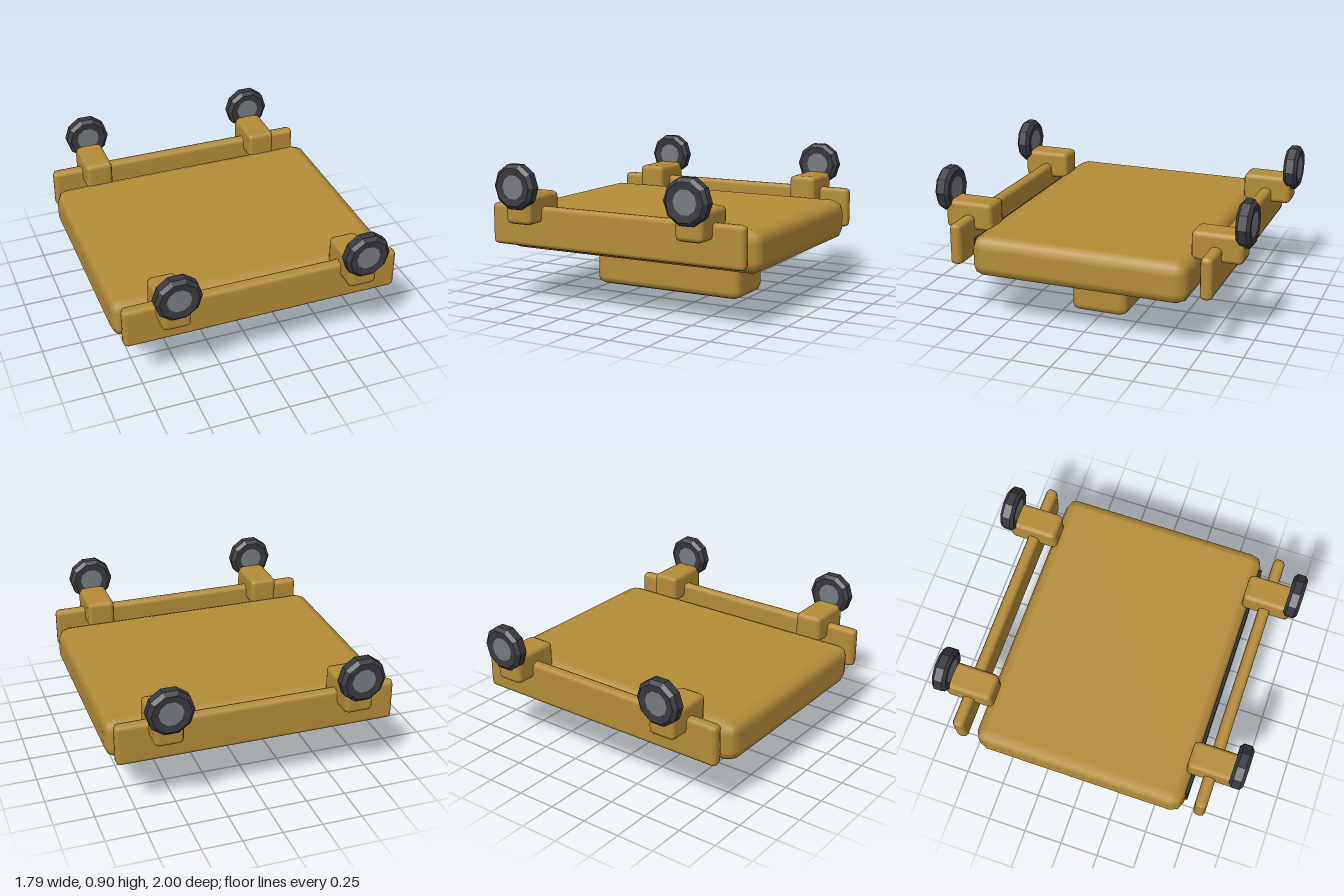
import * as THREE from 'three';
import { RoundedBoxGeometry } from 'three/addons/geometries/RoundedBoxGeometry.js';

const paint = new THREE.MeshStandardMaterial({ color: 0xb48c38 });
const dark = new THREE.MeshStandardMaterial({ color: 0x2c2d32 });
const rubber = new THREE.MeshStandardMaterial({ color: 0x38383e, flatShading: true });
const metal = new THREE.MeshStandardMaterial({ color: 0x777b80, flatShading: true });

// Bevelled box given by its extents on each axis
function block(name, [x0, x1], [y0, y1], [z0, z1], bevel, material = paint) {
  const geometry = new RoundedBoxGeometry(x1 - x0, y1 - y0, z1 - z0, 1, bevel);
  const mesh = new THREE.Mesh(geometry, material);
  mesh.position.set((x0 + x1) / 2, (y0 + y1) / 2, (z0 + z1) / 2);
  mesh.name = name;
  return mesh;
}

// Ten-sided ring turned around z, with corners on the x axis
function turned(name, profile, material) {
  const points = profile.map(([r, z]) => new THREE.Vector2(r, z));
  const geometry = new THREE.LatheGeometry(points, 10, Math.PI / 2);
  geometry.rotateX(Math.PI / 2);
  const mesh = new THREE.Mesh(geometry, material);
  mesh.name = name;
  return mesh;
}

// Tyre with bevelled rims, and a hub showing on both faces
function makeWheel(name) {
  const wheel = new THREE.Group();
  wheel.name = name;
  const tyre = [[0.075, -0.04], [0.12, -0.045], [0.143, -0.025], [0.143, 0.025], [0.12, 0.045], [0.075, 0.04]];
  const hub = [[0, -0.04], [0.076, -0.04], [0.076, 0.04], [0, 0.04]];
  wheel.add(turned('tyre', tyre, rubber), turned('hub', hub, metal));
  return wheel;
}

export function createModel() {
  const model = new THREE.Group();
  model.name = 'upturnedRobot';

  // Wide body with the head hanging below it
  model.add(block('body', [-0.895, 0.895], [0.315, 0.575], [-0.685, 0.685], 0.075));
  model.add(block('head', [-0.525, 0.525], [0.02, 0.33], [-0.185, 0.185], 0.05));
  for (const x of [-0.265, 0.265]) {
    model.add(block('eye', [x - 0.075, x + 0.075], [0, 0.06], [-0.04, 0.04], 0.028, dark));
  }

  // Thin panel on the front of the body
  const panel = new THREE.Mesh(new THREE.BoxGeometry(1.59, 0.16, 0.02), dark);
  panel.name = 'frontPanel';
  panel.position.set(0, 0.45, 0.69);
  model.add(panel);

  // Rail, two axle arms and two wheels at each end
  for (const [side, s] of [['front', 1], ['back', -1]]) {
    const span = (a, b) => (s > 0 ? [a, b] : [-b, -a]);
    model.add(block(side + 'Rail', [-0.872, 0.872], [0.37, 0.63], span(0.755, 0.83), 0.028));
    for (const x of [-0.585, 0.585]) {
      model.add(block(side + 'Arm', [x - 0.09, x + 0.09], [0.53, 0.71], span(0.64, 0.955), 0.03));
      const wheel = makeWheel(side + 'Wheel');
      wheel.position.set(x, 0.765, s * 0.955);
      model.add(wheel);
    }
  }
  return model;
}
